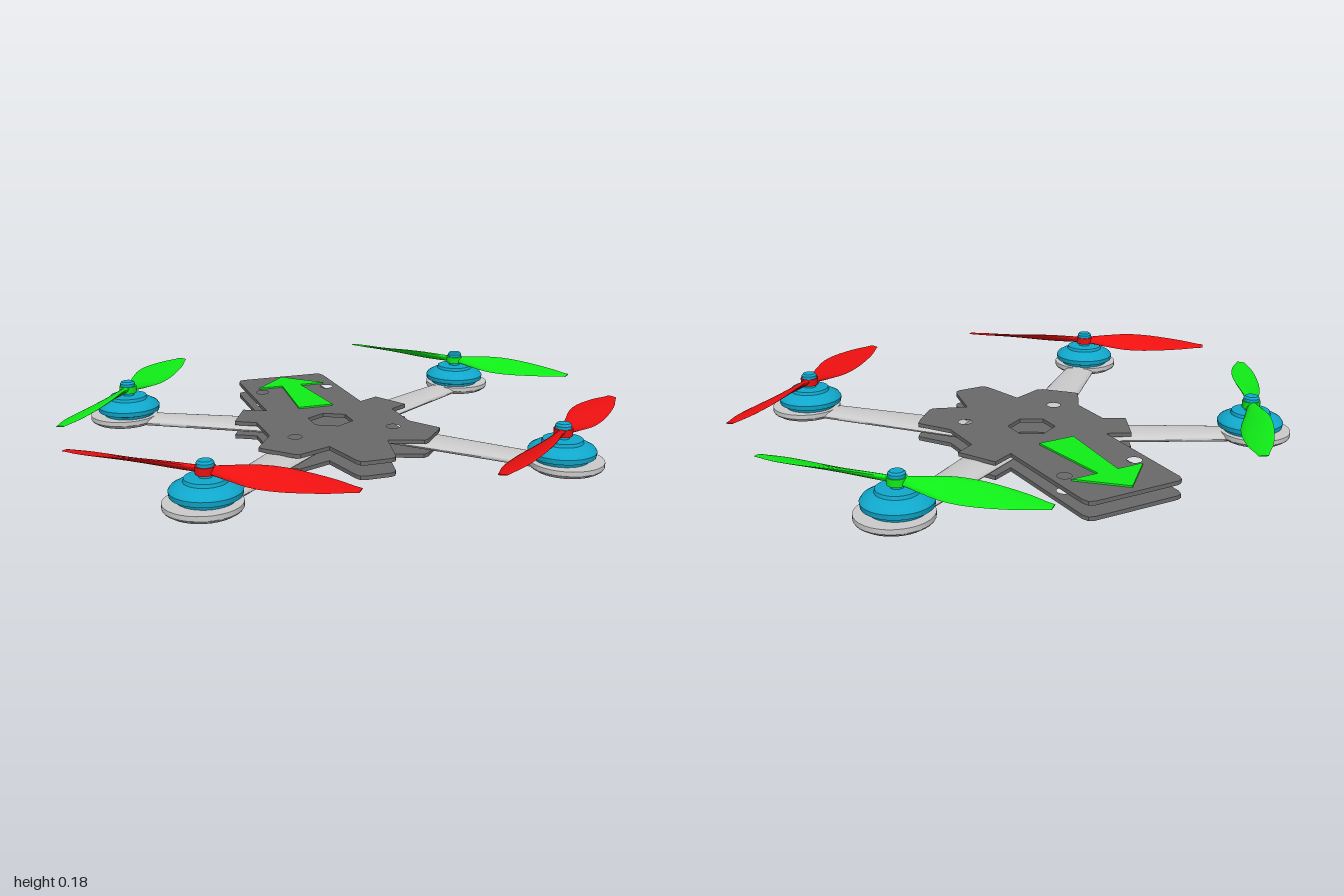
import * as THREE from 'three';
import { toCreasedNormals } from 'three/addons/utils/BufferGeometryUtils.js';

const mat = (color) => new THREE.MeshStandardMaterial({ color });
const GREY = mat(0xcccccc), PLATE = mat(0x6a6a6a), BLUE = mat(0x10a8cc), GREEN = mat(0x10ee18), RED = mat(0xee1010);
const CX = -0.0125; // the frame's own centre line

function mesh(name, geometry, material, x = 0, y = 0, z = 0) {
  const m = new THREE.Mesh(geometry, material);
  m.name = name;
  m.position.set(x, y, z);
  return m;
}

// Closed outline mirrored about the centre line, from [x, z] points of one half
function mirroredShape(half) {
  const all = [...half, ...half.map(([x, z]) => [-x, z]).reverse()];
  return new THREE.Shape(all.map(([x, z]) => new THREE.Vector2(x + CX, -z)));
}

function flatExtrude(shape, depth) {
  const g = new THREE.ExtrudeGeometry(shape, { depth, bevelEnabled: false, curveSegments: 12 });
  return g.rotateX(-Math.PI / 2);
}

function plateGeometry() {
  const shape = mirroredShape([
    [0.155, -0.745], [0.174, -0.737], [0.182, -0.715], [0.19, -0.285], [0.27, -0.325],
    [0.338, -0.19], [0.266, -0.148], [0.266, 0.015], [0.338, 0.13], [0.325, 0.15], [0.245, 0.238],
    [0.225, 0.247], [0.107, 0.2], [0.07, 0.365], [0.062, 0.38], [0.045, 0.387],
  ]);
  // hexagonal centre opening and four bolt holes
  const hex = Array.from({ length: 6 }, (_, i) => {
    const a = Math.PI / 6 + i * Math.PI / 3;
    return new THREE.Vector2(CX + 0.084 * Math.cos(a), 0.095 + 0.084 * Math.sin(a));
  });
  shape.holes.push(new THREE.Path(hex));
  for (const s of [-1, 1]) {
    for (const [x, z] of [[0.135, -0.535], [0.185, 0.06]]) {
      shape.holes.push(new THREE.Path().absarc(CX + s * x, -z, 0.025, 0, Math.PI * 2, true));
    }
  }
  return flatExtrude(shape, 0.014);
}

// Tapered arm with a flattened round section, lying along +x from the origin
function armGeometry(length) {
  const r0 = 0.078, r1 = 0.056;
  const g = new THREE.CylinderGeometry(r1, r0, length, 28, 6);
  const p = g.attributes.position;
  for (let i = 0; i < p.count; i++) {
    const r = THREE.MathUtils.lerp(r0, r1, p.getY(i) / length + 0.5);
    p.setZ(i, (p.getZ(i) / r) * 0.0185);
  }
  g.rotateZ(-Math.PI / 2).rotateX(Math.PI / 2).translate(length / 2, 0, 0);
  return toCreasedNormals(g, 0.8);
}

function lathe(points, segments = 32) {
  const g = new THREE.LatheGeometry(points.map(([r, y]) => new THREE.Vector2(r, y)), segments);
  return toCreasedNormals(g, 0.5);
}

// Twisted blade along +x: lens section, chord and pitch varying with radius
function bladeGeometry() {
  const chord = new THREE.SplineCurve([0.03, 0.065, 0.1, 0.11, 0.1, 0.076, 0.032]
    .map((c, i) => new THREE.Vector2(i, c)));
  const g = new THREE.CylinderGeometry(1, 1, 1, 16, 20);
  const p = g.attributes.position;
  for (let i = 0; i < p.count; i++) {
    const t = p.getY(i) + 0.5;
    const side = p.getX(i) * chord.getPoint(t).y / 2;
    const up = -p.getZ(i) * THREE.MathUtils.lerp(0.011, 0.002, t);
    const pitch = THREE.MathUtils.lerp(0.6, 0.12, t);
    p.setXYZ(i, 0.01 + 0.485 * t,
      side * Math.sin(pitch) + up * Math.cos(pitch),
      -side * Math.cos(pitch) + up * Math.sin(pitch));
  }
  return toCreasedNormals(g, 0.9);
}

export function createModel() {
  const model = new THREE.Group();
  model.name = 'quadcopter';

  // Two stacked body plates with a direction arrow on top
  const plate = plateGeometry();
  model.add(mesh('bottomPlate', plate, PLATE), mesh('topPlate', plate, PLATE, 0, 0.051, 0));
  const arrow = mirroredShape([[0.002, -0.715], [0.137, -0.58], [0.038, -0.58], [0.068, -0.265]]);
  model.add(mesh('directionArrow', flatExtrude(arrow, 0.006), GREEN, 0, 0.065, 0));

  const pad = lathe([[0, 0.017], [0.085, 0.017], [0.108, 0.022], [0.122, 0.031], [0.125, 0.036], [0.125, 0.052], [0, 0.052]]);
  const motor = lathe([[0, 0.048], [0.09, 0.048], [0.095, 0.062], [0.113, 0.068], [0.115, 0.085],
    [0.108, 0.095], [0.088, 0.106], [0.07, 0.112], [0.067, 0.123], [0.03, 0.125], [0, 0.125]]);
  const shaft = lathe([[0, 0.12], [0.022, 0.12], [0.022, 0.155], [0.028, 0.155], [0.028, 0.17], [0.022, 0.177], [0, 0.177]], 16);
  const hub = new THREE.CylinderGeometry(0.032, 0.032, 0.025, 20);
  const blade = bladeGeometry();

  // Motor position, inner arm end and blade direction of each corner, as [x, z]
  const corners = [
    { name: 'backRight', motor: [-0.69, -0.47], root: [-0.18, -0.178], blade: [0.29, -0.396], color: GREEN },
    { name: 'backLeft', motor: [0.67, -0.48], root: [0.165, -0.18], blade: [-0.30, -0.39], color: GREEN },
    { name: 'frontRight', motor: [-0.62, 0.51], root: [-0.17, 0.075], blade: [-0.37, -0.32], color: RED },
    { name: 'frontLeft', motor: [0.58, 0.545], root: [0.17, 0.07], blade: [0.39, -0.31], color: RED },
  ];
  for (const c of corners) {
    const [mx, mz] = c.motor, [rx, rz] = c.root;
    const dx = mx - rx, dz = mz - rz, length = Math.hypot(dx, dz);

    const arm = mesh(c.name + 'Arm', armGeometry(length), GREY, rx, 0.034, rz);
    arm.rotation.y = Math.atan2(-dz, dx);
    model.add(arm);

    // mount pad sits slightly outboard of the motor axis
    const out = 0.018 / length;
    model.add(mesh(c.name + 'MotorMount', pad, GREY, mx + dx * out, 0, mz + dz * out));
    model.add(mesh(c.name + 'Motor', motor, BLUE, mx, 0, mz));
    model.add(mesh(c.name + 'PropellerNut', shaft, BLUE, mx, 0, mz));

    const propeller = new THREE.Group();
    propeller.name = c.name + 'Propeller';
    propeller.position.set(mx, 0.147, mz);
    propeller.rotation.y = Math.atan2(-c.blade[1], c.blade[0]);
    propeller.add(mesh('hub', hub, c.color));
    for (const turn of [0, Math.PI]) {
      const b = mesh('blade', blade, c.color);
      b.rotation.y = turn;
      propeller.add(b);
    }
    model.add(propeller);
  }
  return model;
}
